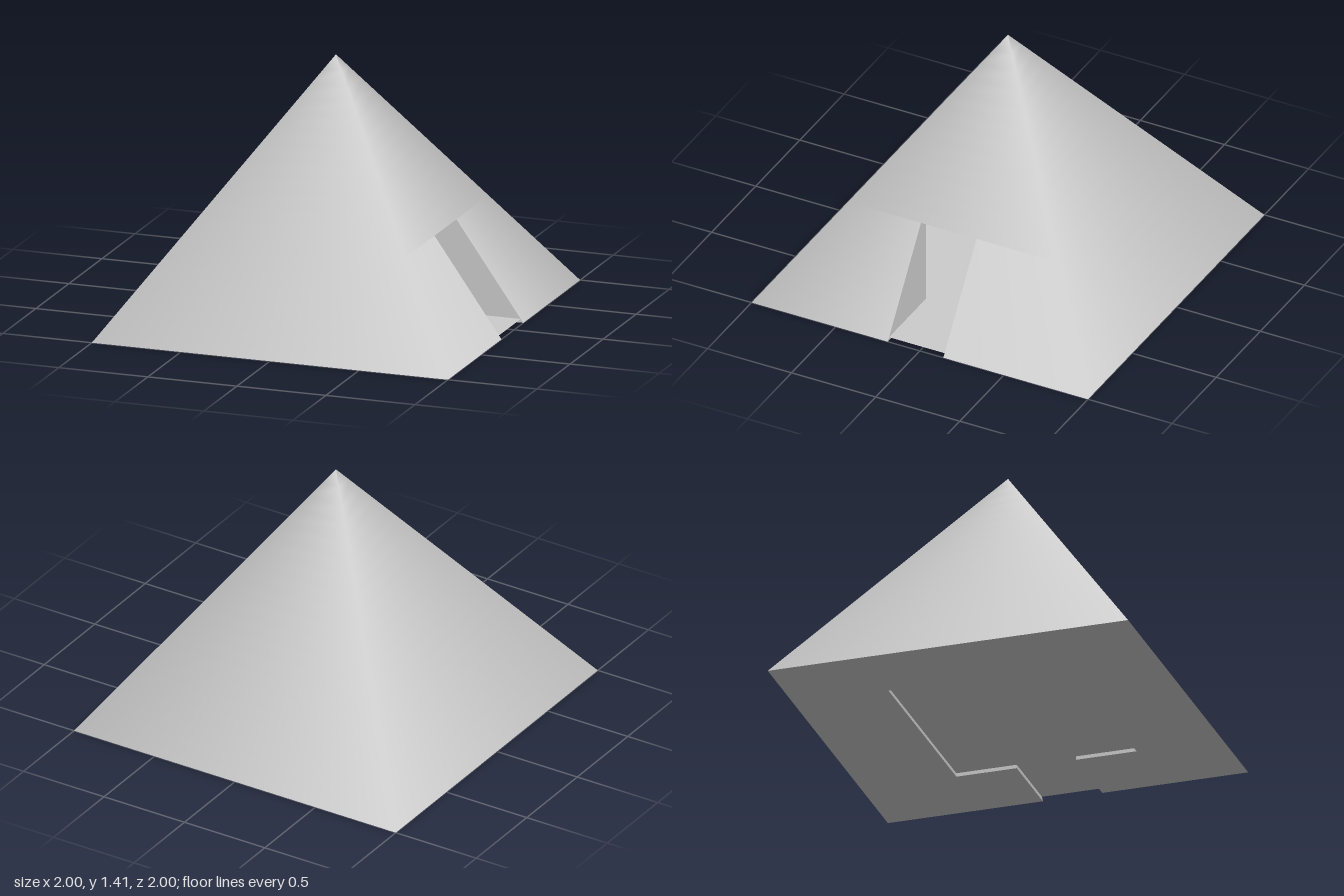
import * as THREE from 'three';

const H = 1.41;                       // pyramid height, base half-width is 1
const DOOR = { z0: -0.14, z1: 0.19, h: 0.53 };
const ROOM = { x: 0.565, z0: -0.475, z1: 0.525 };
const FLOOR_Y = 0.02;
const halfWidth = (y) => 1 - y / H;

export function createModel() {
  const group = new THREE.Group();
  const mat = new THREE.MeshStandardMaterial({ color: 0xcccccc });
  const twoSided = new THREE.MeshStandardMaterial({ color: 0xcccccc, side: THREE.DoubleSide });

  const add = (name, geo, material = mat) => {
    const mesh = new THREE.Mesh(geo, material);
    mesh.name = name;
    group.add(mesh);
    return mesh;
  };

  // Flat four-cornered panel
  const quad = (name, a, b, c, d) => {
    const geo = new THREE.BufferGeometry();
    geo.setAttribute('position', new THREE.Float32BufferAttribute([...a, ...b, ...c, ...a, ...c, ...d], 3));
    geo.computeVertexNormals();
    return add(name, geo, twoSided);
  };

  // Horizontal sheet from an x/z outline, facing down
  const sheet = (name, outline, y, material) => {
    const shape = new THREE.Shape(outline.map(([x, z]) => new THREE.Vector2(x, z)));
    add(name, new THREE.ShapeGeometry(shape).rotateX(Math.PI / 2), material).position.y = y;
  };

  // Three unbroken slopes, smooth round the corners
  add('outerSlopes', new THREE.ConeGeometry(Math.SQRT2, H, 3, 20, true, Math.PI * 0.75, Math.PI * 1.5))
    .position.y = H / 2;

  // Slope above the doorway
  const topH = H - DOOR.h;
  add('slopeAboveDoor', new THREE.ConeGeometry(Math.SQRT2 * halfWidth(DOOR.h), topH, 1, 12, true, Math.PI / 4, Math.PI / 2))
    .position.y = DOOR.h + topH / 2;

  // Slope on either side of the doorway
  for (const [side, doorZ] of [[1, DOOR.z1], [-1, DOOR.z0]]) {
    const rows = 8, pos = [], nor = [], index = [];
    for (let i = 0; i <= rows; i++) {
      const y = (DOOR.h * i) / rows, w = halfWidth(y);
      for (const z of [side * w, doorZ]) {
        pos.push(w, y, z);
        const n = new THREE.Vector3(0.5, Math.SQRT1_2, (0.5 * z) / w).normalize();
        nor.push(n.x, n.y, n.z);
      }
      if (i < rows) {
        const a = i * 2, b = a + 1, c = a + 2, d = a + 3;
        index.push(...(side > 0 ? [a, b, c, b, d, c] : [a, c, b, b, c, d]));
      }
    }
    const geo = new THREE.BufferGeometry();
    geo.setAttribute('position', new THREE.Float32BufferAttribute(pos, 3));
    geo.setAttribute('normal', new THREE.Float32BufferAttribute(nor, 3));
    geo.setIndex(index);
    add('slopeBesideDoor', geo);
  }

  // Passage walls, cut to the slope, and its lintel
  const lip = halfWidth(DOOR.h), { x: rx, z0, z1 } = ROOM, h = DOOR.h;
  for (const z of [DOOR.z0, DOOR.z1]) {
    quad('passageWall', [rx, 0, z], [1, 0, z], [lip, h, z], [rx, h, z]);
  }
  quad('passageLintel', [rx, h, DOOR.z0], [lip, h, DOOR.z0], [lip, h, DOOR.z1], [rx, h, DOOR.z1]);

  // Chamber walls, running round from one door jamb to the other
  const plan = [[rx, DOOR.z0], [rx, z0], [-rx, z0], [-rx, z1], [rx, z1], [rx, DOOR.z1]];
  for (let i = 0; i < plan.length - 1; i++) {
    const [ax, az] = plan[i], [bx, bz] = plan[i + 1];
    quad('chamberWall', [ax, 0, az], [bx, 0, bz], [bx, h, bz], [ax, h, az]);
  }
  quad('chamberCeiling', [-rx, h, z0], [rx, h, z0], [rx, h, z1], [-rx, h, z1]);

  // Floor of chamber and passage, and the underside around it
  const sill = halfWidth(FLOOR_Y);
  sheet('floor', [[sill, DOOR.z0], ...plan, [sill, DOOR.z1]], FLOOR_Y, twoSided);
  sheet('underside', [[1, DOOR.z0], ...plan, [1, DOOR.z1], [1, 1], [-1, 1], [-1, -1], [1, -1]], 0, mat);

  return group;
}
